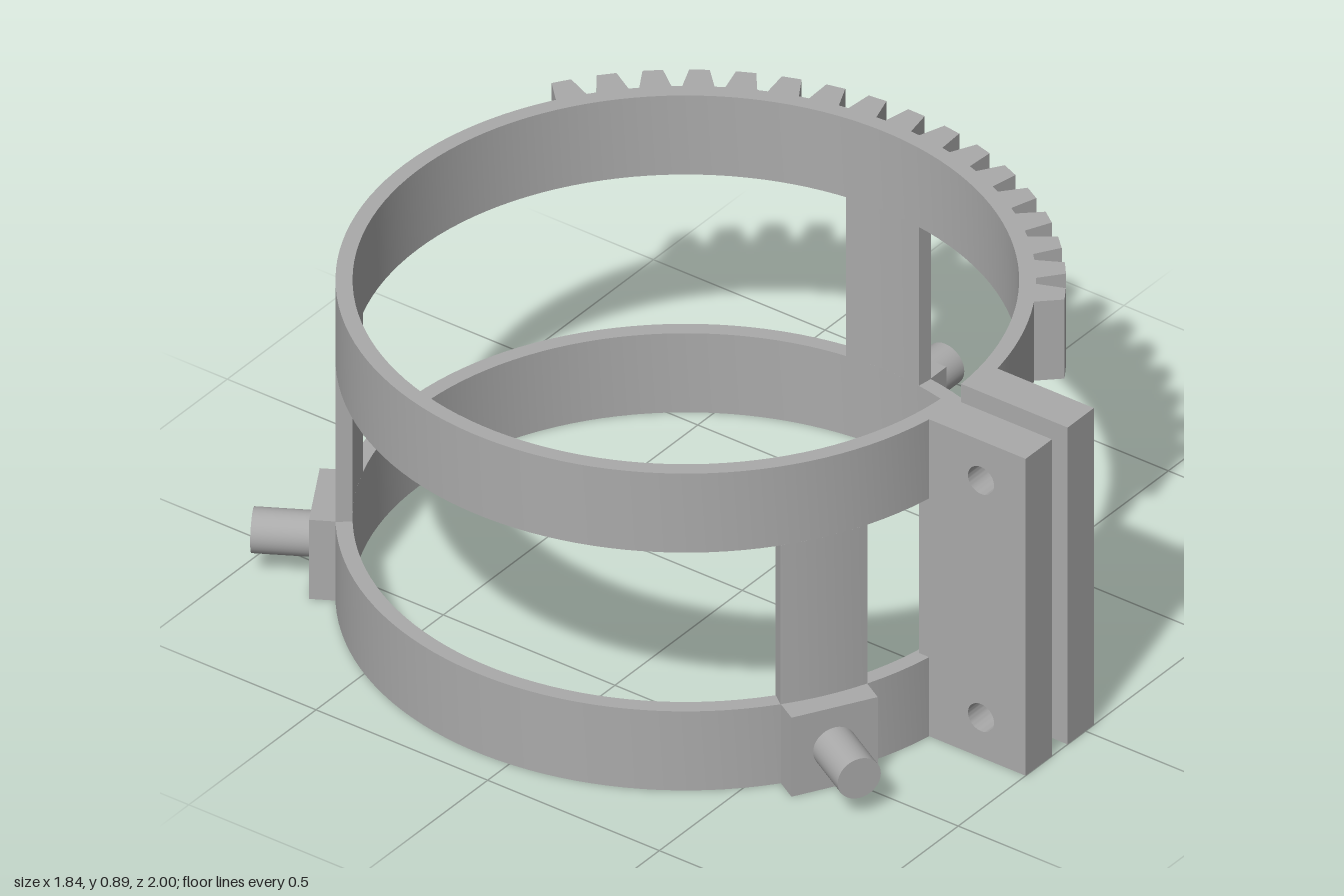
import * as THREE from 'three';
import { toCreasedNormals } from 'three/addons/utils/BufferGeometryUtils.js';

const RAD = Math.PI / 180;
const CX = -0.1, CZ = -0.09;          // ring axis
const R_IN = 0.78, R_OUT = 0.82, R_TIP = 0.89;
const HEIGHT = 0.89, BAND = 0.222;

export function createModel() {
  const model = new THREE.Group();
  const grey = new THREE.MeshStandardMaterial({ color: 0xaaaaaa });
  grey.name = 'grey';

  function add(name, geometry, parent = model) {
    const mesh = new THREE.Mesh(geometry, grey);
    mesh.name = name;
    parent.add(mesh);
    return mesh;
  }

  // Upright extrusion of an arc band from angle a0 to a1 (degrees, counter-clockwise from above)
  function arcBand(a0, a1, y0, y1, steps, teeth = []) {
    const polar = (r, a) => new THREE.Vector2(r * Math.cos(a * RAD), r * Math.sin(a * RAD));
    const points = [];
    const outer = [];
    for (let i = 0; i <= steps; i++) {
      const a = a0 + (a1 - a0) * i / steps;
      if (!teeth.some(t => Math.abs(a - t) < 2.8)) outer.push([a, R_OUT]);
    }
    // Trapezoid teeth are inserted into the outer outline
    for (const t of teeth) {
      outer.push([t - 2.65, R_OUT], [t - 1.55, R_TIP], [t + 1.55, R_TIP], [t + 2.65, R_OUT]);
    }
    outer.sort((p, q) => p[0] - q[0]);
    for (const [a, r] of outer) points.push(polar(r, a));
    for (let i = steps; i >= 0; i--) points.push(polar(R_IN, a0 + (a1 - a0) * i / steps));
    const geo = new THREE.ExtrudeGeometry(new THREE.Shape(points), {
      depth: y1 - y0, bevelEnabled: false,
    });
    geo.rotateX(-Math.PI / 2);
    geo.translate(CX, y0, CZ);
    return toCreasedNormals(geo, 20 * RAD);
  }

  // Split rings, open between the clamp flanges at the front
  const teeth = [];
  for (let i = -8; i <= 8; i++) teeth.push(i * 120 / 17 - 0.8);
  add('lowerRing', arcBand(-87.8, 267.8, 0, BAND, 128));
  add('upperGearRing', arcBand(-87.8, 267.8, HEIGHT - BAND, HEIGHT, 128, teeth));

  // Three posts, each with a boss and a peg at its foot
  for (const deg of [0, 120, 240]) {
    add('post', arcBand(deg - 7.8, deg + 7.8, BAND, HEIGHT - BAND, 8));

    const mount = new THREE.Group();
    mount.name = 'pegMount';
    mount.position.set(CX, BAND / 2, CZ);
    mount.rotation.y = deg * RAD;
    model.add(mount);
    const boss = add('boss', new THREE.BoxGeometry(0.072, BAND, 0.22), mount);
    boss.position.x = 0.839;
    const peg = add('peg', new THREE.CylinderGeometry(0.055, 0.055, 0.16, 32), mount);
    peg.rotation.z = -Math.PI / 2;
    peg.position.x = 0.94;
  }

  // Pair of clamp flanges with two bolt holes each
  const plate = new THREE.Shape();
  plate.moveTo(-1, 0);
  plate.lineTo(-0.69, 0);
  plate.lineTo(-0.69, HEIGHT);
  plate.lineTo(-1, HEIGHT);
  plate.closePath();
  for (const y of [0.112, 0.778]) {
    plate.holes.push(new THREE.Path().absarc(-0.87, y, 0.038, 0, Math.PI * 2, true));
  }
  for (const x of [-0.235, -0.07]) {
    const geo = new THREE.ExtrudeGeometry(plate, { depth: 0.103, bevelEnabled: false, curveSegments: 24 });
    geo.rotateY(Math.PI / 2);
    add('clampFlange', toCreasedNormals(geo, 30 * RAD)).position.x = x;
  }

  return model;
}
